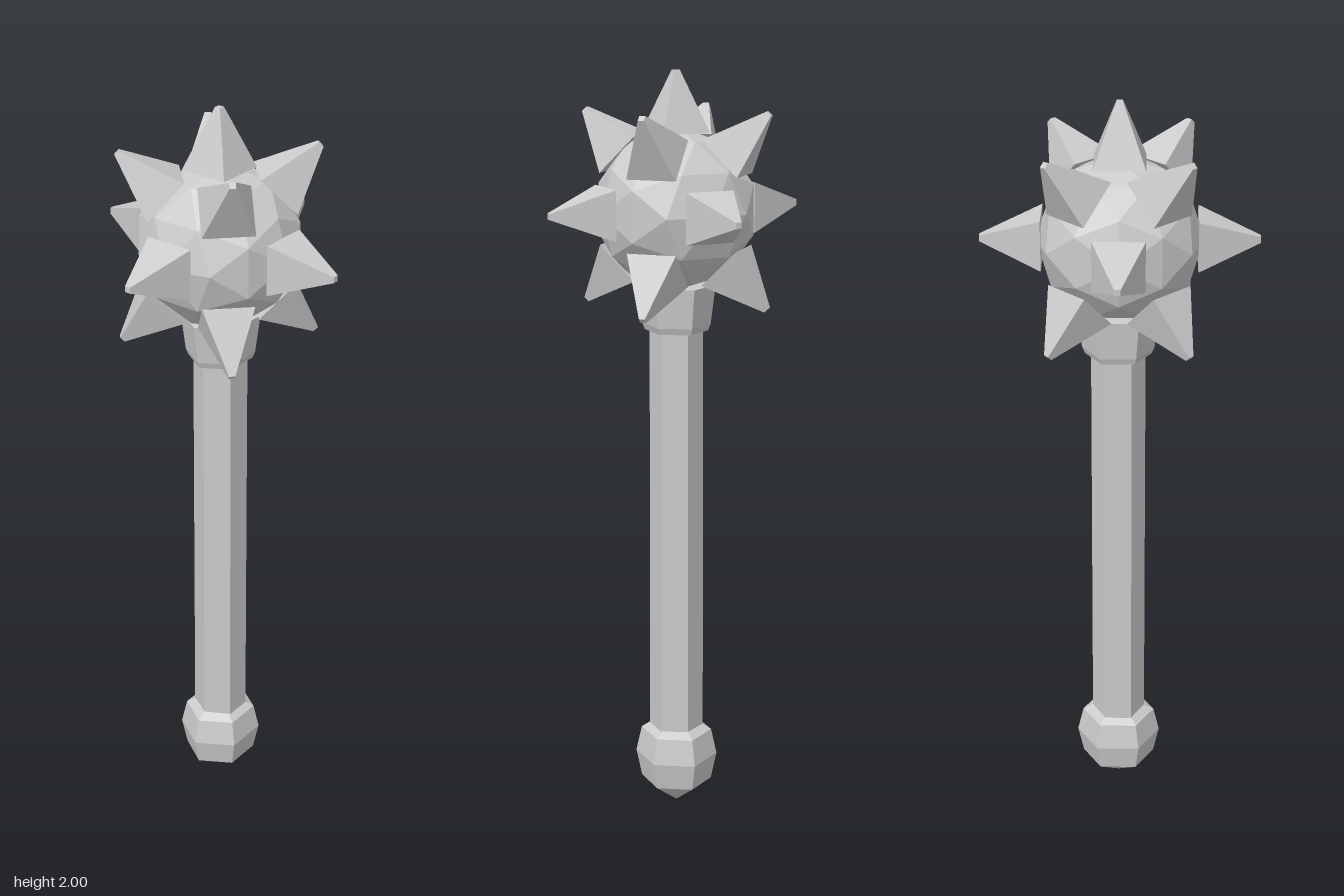
import * as THREE from 'three';

const HEAD_Y = 1.654;
const material = new THREE.MeshStandardMaterial({ color: 0xcccccc, flatShading: true });

function addMesh(parent, name, geometry, y = 0) {
  const mesh = new THREE.Mesh(geometry, material);
  mesh.name = name;
  mesh.position.y = y;
  parent.add(mesh);
  return mesh;
}

// six-sided turned part from [radius, y] pairs, bottom to top, corners on the x axis
function hexLathe(profile, depth = 1) {
  const points = profile.map(([r, y]) => new THREE.Vector2(r, y));
  return new THREE.LatheGeometry(points, 6, Math.PI / 2).scale(1, 1, depth);
}

export function createModel() {
  const model = new THREE.Group();
  model.name = 'spikedMace';

  // handle: pommel, shaft and collar, all hexagonal
  const handle = new THREE.Group();
  handle.name = 'handle';
  handle.position.x = 0.004;
  model.add(handle);
  addMesh(handle, 'pommel', hexLathe([
    [0, 0.005], [0.1, 0.075], [0.116, 0.15], [0.1, 0.22], [0.065, 0.24], [0, 0.24],
  ], 0.95));
  addMesh(handle, 'shaft', hexLathe([[0, 0.2], [0.073, 0.2], [0.07, 1.38], [0, 1.38]]));
  addMesh(handle, 'collar', hexLathe([
    [0, 1.34], [0.086, 1.34], [0.093, 1.357], [0.106, 1.46], [0, 1.47],
  ], 0.95));

  // faceted ball
  const head = new THREE.Group();
  head.name = 'head';
  head.position.y = HEAD_Y;
  model.add(head);
  addMesh(head, 'ball', new THREE.IcosahedronGeometry(0.21, 1));

  // blunt four-sided spike pointing along +z
  const inner = 0.195, outer = 0.35;
  const spike = new THREE.CylinderGeometry(0.011, 0.092, outer - inner, 4, 1, false, Math.PI / 4)
    .rotateX(Math.PI / 2)
    .translate(0, 0, (inner + outer) / 2);
  function addSpike(name, elevation, azimuth) {
    addMesh(head, name, spike).rotation.set(-elevation, azimuth, 0, 'YXZ');
  }

  // one on top, four around the middle, four diagonal above and below
  addSpike('topSpike', Math.PI / 2, 0);
  for (let i = 0; i < 4; i++) {
    const turn = i * Math.PI / 2;
    addSpike('sideSpike', 0, turn);
    addSpike('upperSpike', Math.PI / 4, turn + Math.PI / 4);
    addSpike('lowerSpike', -Math.PI / 4, turn + Math.PI / 4);
  }
  return model;
}
